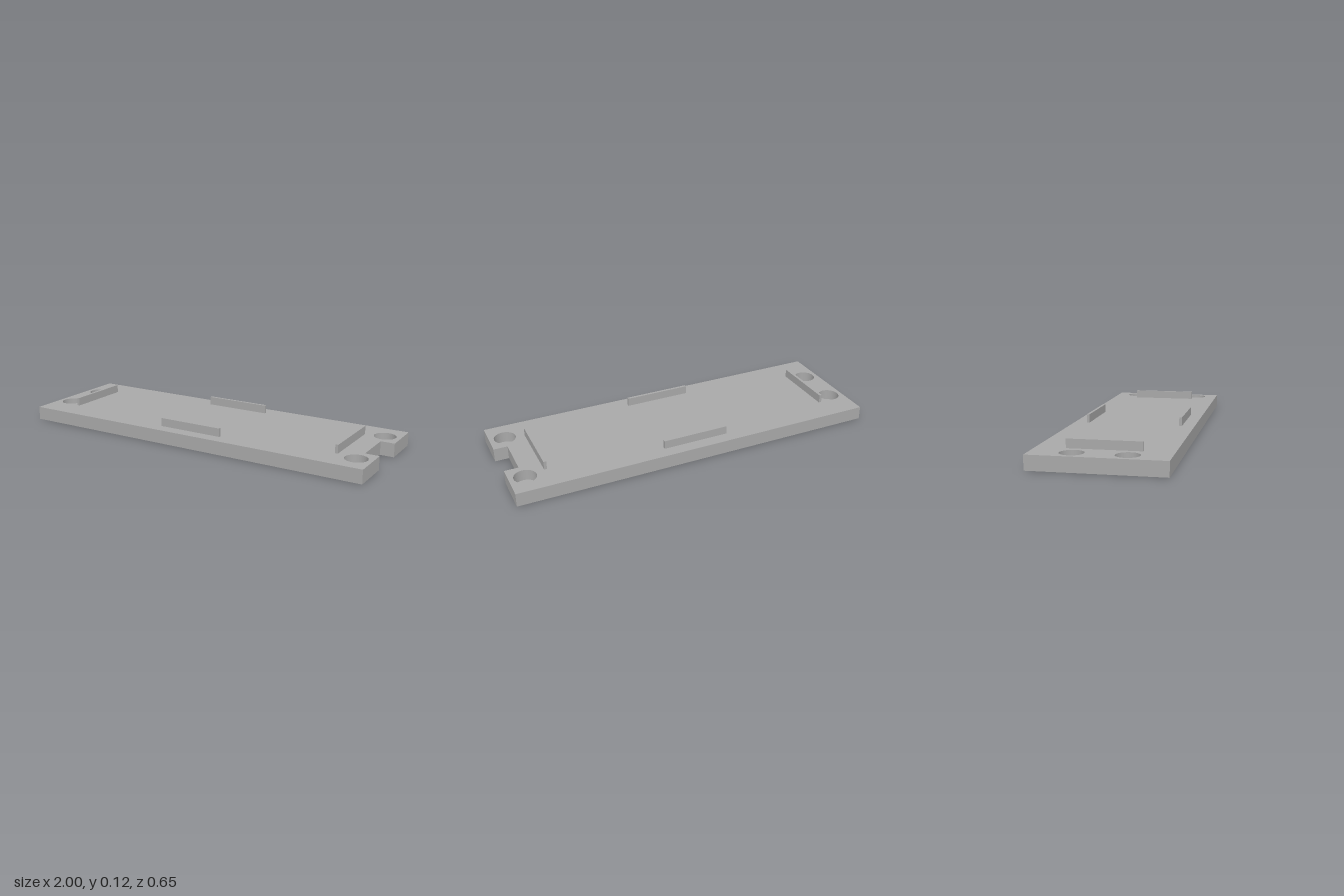
import * as THREE from 'three';

const HALF_L = 1, HALF_W = 0.327, THICK = 0.073;
const HOLE_R = 0.058, FLOOR_Y = 0.014, SIDES = 48;
const RIB_TOP = 0.118, RIB_T = 0.015;

export function createModel() {
  const group = new THREE.Group();
  const grey = new THREE.MeshStandardMaterial({ color: 0xa8a8a8 });
  grey.name = 'plain grey';

  const add = (name, geometry, x = 0, y = 0, z = 0) => {
    const mesh = new THREE.Mesh(geometry, grey);
    mesh.name = name;
    mesh.position.set(x, y, z);
    group.add(mesh);
  };

  // Base plate outline with a notch in the +x end
  const outline = new THREE.Shape([
    [-HALF_L, -HALF_W], [HALF_L, -HALF_W], [HALF_L, -0.109], [0.926, -0.109],
    [0.926, 0.109], [HALF_L, 0.109], [HALF_L, HALF_W], [-HALF_L, HALF_W],
  ].map(([x, y]) => new THREE.Vector2(x, y)));

  // Round blind recesses near the corners
  const recesses = [[-0.92, 0.128], [-0.92, -0.128], [0.917, 0.2], [0.917, -0.2]];
  for (const [x, z] of recesses) {
    outline.holes.push(new THREE.Path().absarc(x, -z, HOLE_R, 0, Math.PI * 2, true));
  }
  const plate = new THREE.ExtrudeGeometry(outline, {
    depth: THICK, bevelEnabled: false, curveSegments: SIDES / 2,
  });
  add('basePlate', plate.rotateX(-Math.PI / 2));

  // Recess floors, and caps closing the underside
  for (const [x, z] of recesses) {
    const disc = (turn) => new THREE.CircleGeometry(HOLE_R, SIDES).rotateX(turn);
    add('recessFloor', disc(-Math.PI / 2), x, FLOOR_Y, z);
    add('undersideCap', disc(Math.PI / 2), x, 0, z);
  }

  // Upright locating ribs: one pair along the sides, one pair across the ends
  const ribH = RIB_TOP - THICK, ribY = (RIB_TOP + THICK) / 2;
  for (const z of [-0.252, 0.252]) {
    add('sideRib', new THREE.BoxGeometry(0.362, ribH, RIB_T), 0.008, ribY, z);
  }
  for (const x of [-0.826, 0.807]) {
    add('endRib', new THREE.BoxGeometry(RIB_T, ribH, 0.362), x, ribY, 0);
  }
  return group;
}
